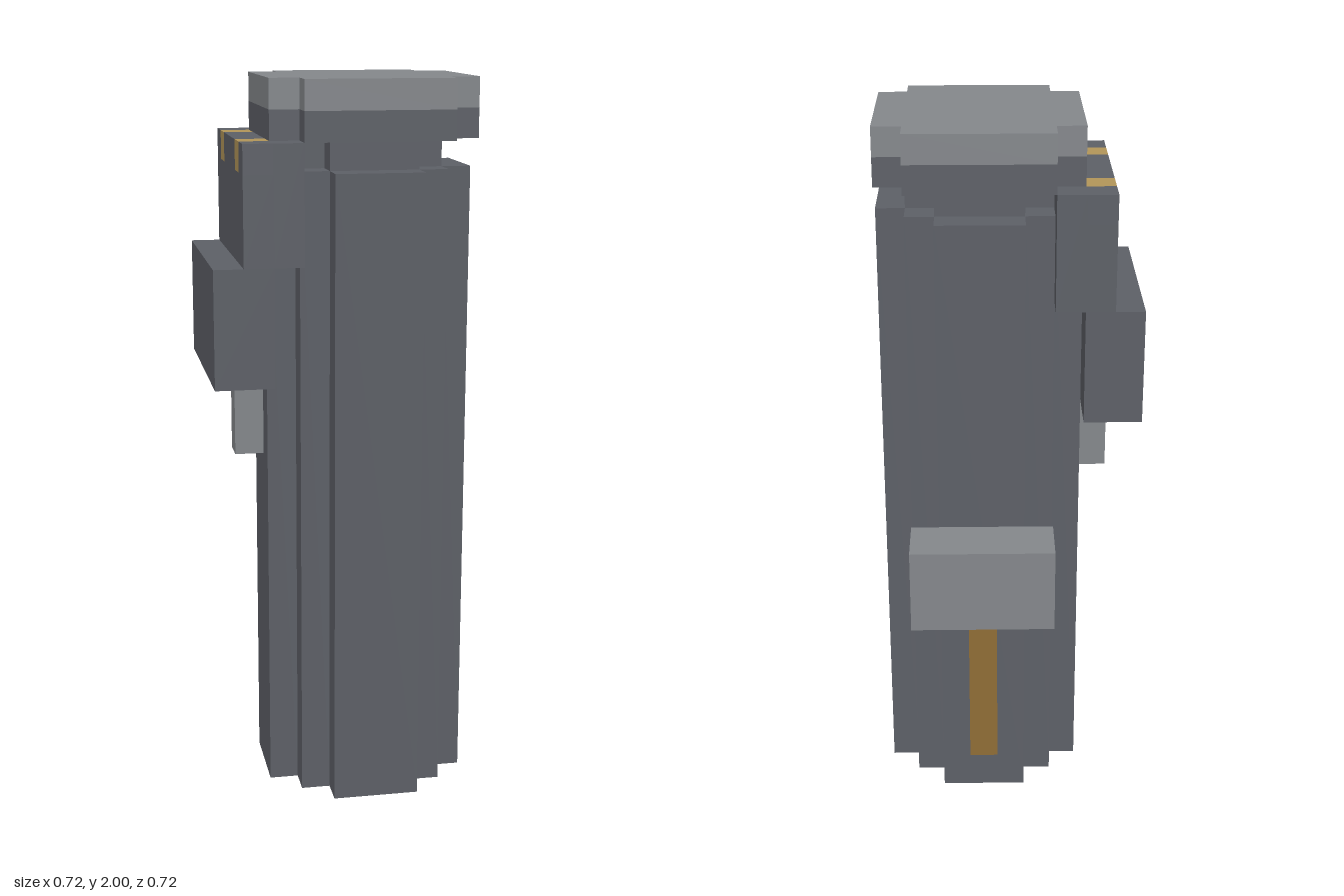
import * as THREE from 'three';

const material = (name, color) => {
  const m = new THREE.MeshStandardMaterial({ color });
  m.name = name;
  return m;
};

export function createModel() {
  const dark = material('dark grey', 0x5e6168);
  const light = material('light grey', 0x86898d);
  const brass = material('brass', 0xb5975a);
  const wood = material('wood brown', 0x916e37);
  const group = new THREE.Group();
  const AXIS = 0.08; // x and z of the column's axis

  const add = (name, geometry, mat) => {
    const mesh = new THREE.Mesh(geometry, mat);
    mesh.name = name;
    group.add(mesh);
    return mesh;
  };

  // Box given by its lower and upper bounds on each axis
  const block = (name, mat, [x0, x1], [y0, y1], [z0, z1]) => {
    const geometry = new THREE.BoxGeometry(x1 - x0, y1 - y0, z1 - z0);
    add(name, geometry, mat).position.set((x0 + x1) / 2, (y0 + y1) / 2, (z0 + z1) / 2);
  };

  // Upright prism whose stepped corner is repeated by quarter turns
  const steppedPrism = (name, mat, corner, y0, y1) => {
    const outline = [];
    for (let turn = 0; turn < 4; turn++) {
      const centre = new THREE.Vector2();
      corner.forEach(([x, y]) =>
        outline.push(new THREE.Vector2(x, y).rotateAround(centre, turn * Math.PI / 2)));
    }
    const geometry = new THREE.ExtrudeGeometry(new THREE.Shape(outline), {
      depth: y1 - y0, bevelEnabled: false,
    });
    geometry.rotateX(-Math.PI / 2);
    add(name, geometry, mat).position.set(AXIS, y0, AXIS);
  };

  // Column, neck and two-tone cap
  const bodyCorner = [[0.28, 0.12], [0.2, 0.12], [0.2, 0.2], [0.12, 0.2], [0.12, 0.28]];
  const neckCorner = [[0.2, 0.12], [0.12, 0.12], [0.12, 0.2]];
  const capCorner = [[0.28, 0.2], [0.2, 0.2], [0.2, 0.28]];
  steppedPrism('body', dark, bodyCorner, 0, 1.76);
  steppedPrism('neck', dark, neckCorner, 1.76, 1.84);
  steppedPrism('capRim', dark, capCorner, 1.84, 1.92);
  steppedPrism('capTop', light, capCorner, 1.92, 2);

  // Side housing: inner and outer slabs, with brass inlaid along the top edge
  block('housingInner', dark, [-0.2, -0.12], [1.52, 1.84], [-0.2, 0.36]);
  block('housingOuter', dark, [-0.28, -0.2], [1.52, 1.76], [-0.2, 0.36]);
  const edges = [-0.2, -0.12, -0.04, 0.2, 0.28, 0.36];
  for (let i = 0; i < 5; i++) {
    const inlay = i % 2 === 1;
    block(inlay ? 'brassInlay' : 'housingEdge', inlay ? brass : dark,
      [-0.28, -0.2], [1.76, 1.84], [edges[i], edges[i + 1]]);
  }
  block('housingLower', dark, [-0.36, -0.2], [1.2, 1.52], [-0.2, 0.36]);
  block('housingPin', light, [-0.28, -0.2], [0.96, 1.2], [0.04, 0.12]);

  // Rear bracket with its wooden grip
  block('rearBracket', light, [-0.12, 0.28], [0.64, 0.88], [-0.36, -0.2]);
  block('rearGrip', wood, [0.04, 0.12], [0.16, 0.64], [-0.28, -0.2]);

  return group;
}
